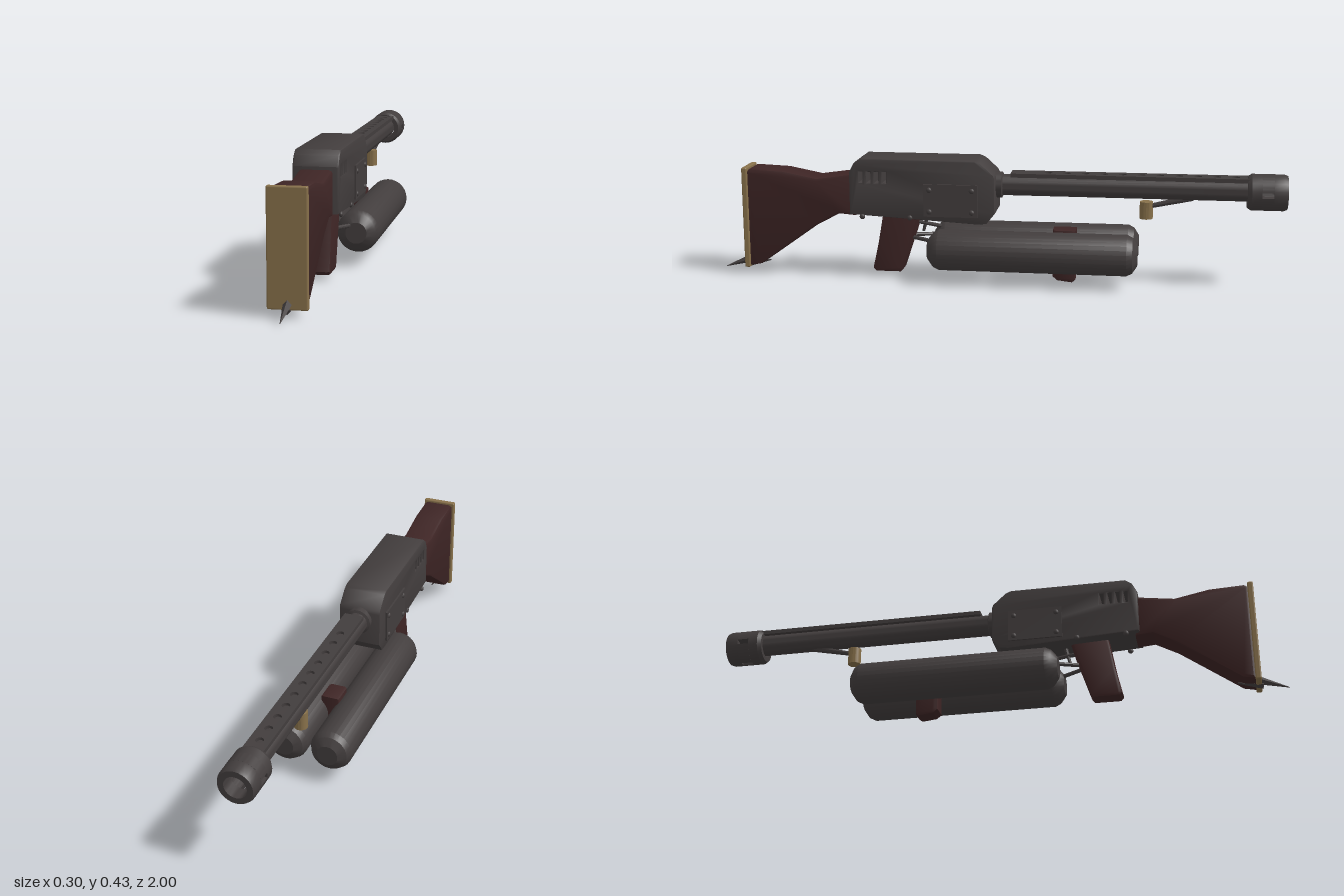
import * as THREE from 'three';
import { toCreasedNormals } from 'three/addons/utils/BufferGeometryUtils.js';
import { RoundedBoxGeometry } from 'three/addons/geometries/RoundedBoxGeometry.js';

const mat = (name, color) => new THREE.MeshStandardMaterial({ name, color });

export function createModel() {
  const group = new THREE.Group();
  const metal = mat('gunmetal', 0x423d3d);
  const wood = mat('darkWood', 0x3e2525);
  const brass = mat('brass', 0x87704a);

  const add = (name, geometry, material, x = 0, y = 0, z = 0) => {
    const mesh = new THREE.Mesh(geometry, material);
    mesh.name = name;
    mesh.position.set(x, y, z);
    group.add(mesh);
    return mesh;
  };

  const points = (list) => list.map(([a, b]) => new THREE.Vector2(a, b));

  // Side profile of [z, y] points, extruded across x with a bevelled edge
  const slab = (profile, width, bevel, holes = []) => {
    const shape = new THREE.Shape(points(profile));
    holes.forEach((h) => shape.holes.push(new THREE.Path(points(h))));
    const depth = width - 2 * bevel;
    const g = new THREE.ExtrudeGeometry(shape, {
      depth, bevelEnabled: true, bevelSize: bevel, bevelThickness: bevel,
      bevelOffset: -bevel, bevelSegments: 2,
    });
    g.translate(0, 0, -depth / 2);
    g.rotateY(-Math.PI / 2);
    return toCreasedNormals(g, 0.6);
  };

  // Turned part lying along z; profile is [radius, -z]
  const turned = (profile, sides = 28) => {
    const g = new THREE.LatheGeometry(points(profile), sides);
    g.rotateX(-Math.PI / 2);
    return toCreasedNormals(g, 0.5);
  };

  // Straight rod or spike between two points
  const rod = (name, a, b, r0, r1, sides, material) => {
    const from = new THREE.Vector3(...a);
    const dir = new THREE.Vector3(...b).sub(from);
    const g = new THREE.CylinderGeometry(r1, r0, dir.length(), sides);
    const m = add(name, toCreasedNormals(g, 0.9), material);
    m.position.copy(from).addScaledVector(dir, 0.5);
    m.quaternion.setFromUnitVectors(new THREE.Vector3(0, 1, 0), dir.normalize());
  };

  // Shoulder stock, butt plate and spikes
  add('stock', slab([
    [0.895, 0.375], [0.88, 0.385], [0.76, 0.38], [0.64, 0.357], [0.5, 0.377],
    [0.5, 0.225], [0.56, 0.23], [0.64, 0.187], [0.85, 0.037], [0.895, 0.028],
  ], 0.11, 0.012), wood);
  add('buttPlate', new RoundedBoxGeometry(0.124, 0.364, 0.02, 2, 0.005), brass, 0, 0.207, 0.9);
  rod('buttSpike', [0, 0.05, 0.885], [0, 0.01, 1], 0.017, 0.001, 4, metal);
  rod('spikeTang', [0, 0.024, 0.915], [0, 0.04, 0.83], 0.012, 0.002, 4, metal);

  // Receiver with vent slots running right through
  const vents = [0, 1, 2, 3].map((i) => {
    const z = 0.474 - i * 0.028;
    return [[z - 0.007, 0.349], [z + 0.007, 0.349], [z + 0.007, 0.388], [z - 0.007, 0.388]];
  });
  add('receiver', slab([
    [0.515, 0.235], [0.515, 0.385], [0.498, 0.418], [0.475, 0.434], [0.07, 0.434],
    [0.05, 0.426], [0.005, 0.385], [0, 0.372], [0, 0.25], [0.03, 0.213], [0.06, 0.21],
  ], 0.15, 0.005, vents), metal);

  // Riveted side panels and lower pins
  for (const s of [-1, 1]) {
    add('sidePanel', new THREE.BoxGeometry(0.009, 0.115, 0.19), metal, s * 0.077, 0.293, 0.155);
    const bolt = (name, x, y, z) => {
      const g = new THREE.SphereGeometry(0.01, 10, 6);
      g.scale(0.7, 1, 1);
      add(name, g, metal, s * x, y, z);
    };
    for (const z of [0.08, 0.23]) for (const y of [0.253, 0.33]) bolt('panelBolt', 0.08, y, z);
    for (const z of [0.3, 0.47]) bolt('lowerPin', 0.073, 0.228, z);
  }

  // Pistol grip, trigger and guard
  add('grip', slab([
    [0.405, 0.235], [0.27, 0.235], [0.285, 0.18], [0.335, 0.03], [0.345, 0.018],
    [0.435, 0.018], [0.445, 0.03], [0.425, 0.12],
  ], 0.064, 0.01), wood);
  rod('trigger', [0, 0.225, 0.25], [0, 0.165, 0.265], 0.008, 0.005, 8, metal);
  rod('triggerGuard', [0, 0.2, 0.29], [0, 0.185, 0.2], 0.007, 0.007, 8, metal);

  // Twin fuel tanks with feed pipes
  for (const s of [-1, 1]) {
    add('fuelTank', turned([
      [0, -0.235], [0.036, -0.235], [0.062, -0.215], [0.072, -0.195],
      [0.072, 0.46], [0.062, 0.48], [0.036, 0.497], [0, 0.497],
    ]), metal, s * 0.078, 0.118, 0);
    rod('feedPipe', [s * 0.015, 0.147, 0.31], [s * 0.06, 0.142, 0.22], 0.007, 0.007, 10, metal);
  }

  // Foregrip wedged between the tanks
  add('foregrip', slab([
    [-0.2, 0.19], [-0.28, 0.19], [-0.28, 0.01], [-0.268, 0], [-0.215, 0.006], [-0.2, 0.02],
  ], 0.068, 0.01), wood);

  // Barrel and its perforated top rib
  const barrelY = 0.341;
  add('barrel', turned([
    [0, -0.03], [0.046, -0.03], [0.046, 0.018], [0.037, 0.022], [0.037, 0.88], [0, 0.88],
  ]), metal, 0, barrelY, 0);
  const rib = new THREE.Shape(points([[-0.034, 0.05], [0.034, 0.05], [0.034, 0.875], [-0.034, 0.875]]));
  for (let i = 0; i < 11; i++) {
    rib.holes.push(new THREE.Path().absarc(0, 0.18 + i * 0.0645, 0.0135, 0, Math.PI * 2, true));
  }
  const ribGeo = new THREE.ExtrudeGeometry(rib, { depth: 0.014, bevelEnabled: false, curveSegments: 12 });
  ribGeo.rotateX(-Math.PI / 2);
  add('barrelRib', ribGeo, metal, 0, 0.373, 0);

  // Muzzle: two rings joined by walls that leave slots at the sides and below
  const muzzleY = 0.337;
  const R = 0.063;
  const r = 0.038;
  add('muzzleRear', turned([
    [r, 0.865], [0.055, 0.865], [R, 0.878], [R, 0.912], [r, 0.912], [r, 0.865],
  ]), metal, 0, muzzleY, 0);
  add('muzzleFront', turned([
    [r, 0.953], [R, 0.953], [R, 0.988], [0.058, 1], [r, 1], [r, 0.953],
  ]), metal, 0, muzzleY, 0);
  const gap = 0.15;
  for (const [a, b] of [[0, Math.PI], [Math.PI, Math.PI * 1.5], [Math.PI * 1.5, Math.PI * 2]]) {
    const wall = new THREE.Shape();
    wall.absarc(0, 0, R, a + gap, b - gap, false);
    wall.absarc(0, 0, r, b - gap, a + gap, true);
    const g = new THREE.ExtrudeGeometry(wall, { depth: 0.041, bevelEnabled: false, curveSegments: 14 });
    add('muzzleWall', toCreasedNormals(g, 0.5), metal, 0, muzzleY, -0.953);
  }

  // Igniter hanging under the barrel
  add('igniterCup', toCreasedNormals(new THREE.CylinderGeometry(0.023, 0.023, 0.06, 16), 0.6),
    brass, 0, 0.264, -0.522);
  rod('igniterArm', [0, 0.277, -0.53], [0, 0.312, -0.68], 0.008, 0.012, 8, metal);

  return group;
}
